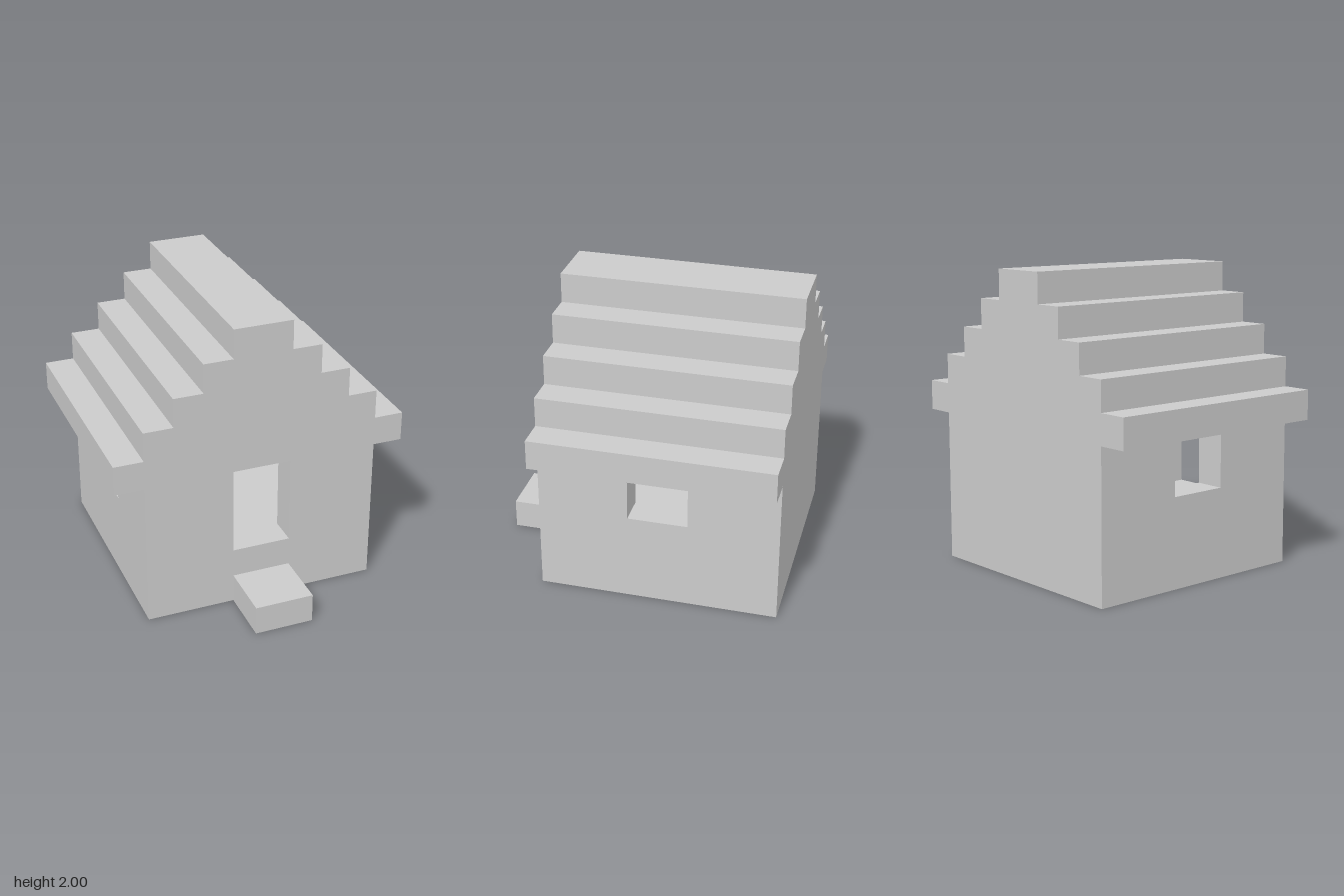
import * as THREE from 'three';

const U = 0.2; // block size; points below are in blocks
const FRONT = 3, BACK = -5; // outer faces of the house along z

export function createModel() {
  const house = new THREE.Group();
  house.name = 'house';
  const material = new THREE.MeshStandardMaterial({ color: 0xcccccc, flatShading: true });

  const add = (name, geometry) => {
    const mesh = new THREE.Mesh(geometry, material);
    mesh.name = name;
    house.add(mesh);
    return mesh;
  };

  const box = (name, x0, x1, y0, y1, z0, z1) => {
    const g = new THREE.BoxGeometry((x1 - x0) * U, (y1 - y0) * U, (z1 - z0) * U);
    add(name, g).position.set((x0 + x1) / 2 * U, (y0 + y1) / 2 * U, (z0 + z1) / 2 * U);
  };

  const extrude = (points, depth) => new THREE.ExtrudeGeometry(
    new THREE.Shape(points.map(([x, y]) => new THREE.Vector2(x * U, y * U))),
    { depth: depth * U, bevelEnabled: false });

  const mirror = (points) => points.map(([x, y]) => [-x, y]).reverse();

  // Right-hand staircase of a roof: rises one block and steps in one block
  const stairs = (x, y, count) => {
    const points = [];
    for (let i = 0; i < count; i++) points.push([x - i, y + i], [x - i, y + i + 1]);
    return points;
  };

  // Foundation with the room floor on top, and the doorstep
  box('foundation', -4, 4, 0, 2, BACK, FRONT);
  box('doorstep', -1, 1, 0, 1, FRONT, 5);

  // End walls with stepped gables; the front one is notched for the door
  const gableSide = [[4, 2], [4, 5], ...stairs(5, 5, 5)];
  const gable = [...gableSide, ...mirror(gableSide)];
  const door = [[-1, 2], [-1, 5], [1, 5], [1, 2]];
  add('frontWall', extrude([...gable, ...door], 1)).position.z = (FRONT - 1) * U;
  add('backWall', extrude(gable, 1)).position.z = BACK * U;

  // Side walls, notched for a window under the eaves (profile runs along -z)
  const sideProfile = [[-2, 2], [4, 2], [4, 5], [2, 5], [2, 3], [0, 3], [0, 5], [-2, 5]];
  for (const [name, x] of [['leftWall', 3], ['rightWall', -4]]) {
    const g = extrude(sideProfile, 1).rotateY(Math.PI / 2);
    add(name, g).position.x = x * U;
  }

  // Hollow stepped roof between the gables, two blocks wide at each step
  const outer = stairs(5, 5, 5);
  const inner = stairs(3, 5, 3);
  const roof = [...outer, ...mirror(outer), ...mirror(inner).reverse(), ...inner.reverse()];
  add('roof', extrude(roof, FRONT - BACK - 2)).position.z = (BACK + 1) * U;

  return house;
}
